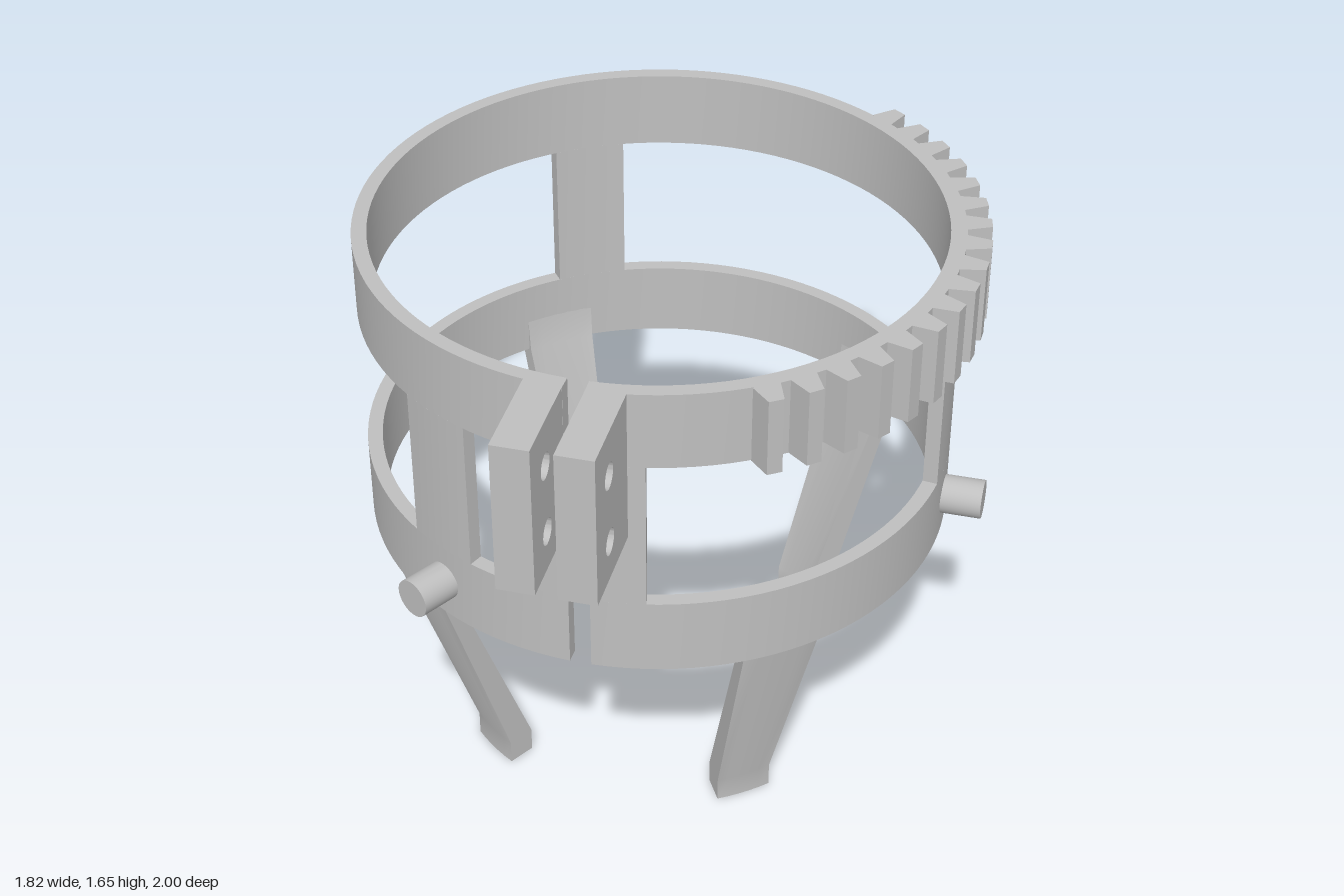
import * as THREE from 'three';
import { toCreasedNormals } from 'three/addons/utils/BufferGeometryUtils.js';

const R_IN = 0.811, R_OUT = 0.854;
const LOW = [0.73, 0.96], HIGH = [1.42, 1.65];
const FRONT = Math.PI / 2; // angles run from +x (0) towards +z
const rad = THREE.MathUtils.degToRad;

export function createModel() {
  const grey = new THREE.MeshStandardMaterial({ color: 0xbfbfbf });
  grey.name = 'light grey plastic';

  const model = new THREE.Group();
  model.name = 'clampRingStand';
  const body = new THREE.Group();
  body.name = 'body';
  body.position.set(-0.058, 0, -0.135); // ring axis
  model.add(body);

  const add = (name, geometry) => {
    const mesh = new THREE.Mesh(toCreasedNormals(geometry, 0.5), grey);
    mesh.name = name;
    body.add(mesh);
  };

  // Sweeps a counter-clockwise (radius, height) profile around the ring axis
  const sweep = (profile, from, to) => {
    const shape = new THREE.Shape(profile.map(([r, y]) => new THREE.Vector2(r, y)));
    const steps = Math.max(4, Math.ceil((to - from) / 0.055));
    const geo = new THREE.ExtrudeGeometry(shape, { depth: 1, steps, bevelEnabled: false });
    const p = geo.attributes.position;
    for (let i = 0; i < p.count; i++) {
      const r = p.getX(i), a = from + (to - from) * p.getZ(i);
      p.setXYZ(i, r * Math.cos(a), p.getY(i), r * Math.sin(a));
    }
    return geo;
  };
  const band = (y0, y1) => [[R_IN, y0], [R_OUT, y0], [R_OUT, y1], [R_IN, y1]];

  // Two split rings
  const gap = 0.0355;
  const start = FRONT + gap, end = FRONT + 2 * Math.PI - gap;
  add('lowerRing', sweep(band(...LOW), start, end));
  add('upperRing', sweep(band(...HIGH), start, end));

  // Pillars between the rings, and a locating peg below each
  const pillar = band(LOW[1], HIGH[0]);
  for (const deg of [0, 120, -120]) {
    const a = rad(deg);
    add('pillar', sweep(pillar, a - 0.131, a + 0.131));
    const pegGeo = new THREE.CylinderGeometry(0.057, 0.057, 0.15, 32);
    pegGeo.rotateZ(-Math.PI / 2).translate(0.895, 0.845, 0).rotateY(-a);
    add('peg', pegGeo);
  }

  // Split front pillar and its clamp tabs
  const half = 0.216;
  add('frontPillarLeft', sweep(pillar, FRONT - half, FRONT - gap));
  add('frontPillarRight', sweep(pillar, FRONT + gap, FRONT + half));

  const tab = new THREE.Shape([
    new THREE.Vector2(0.835, 1.19), new THREE.Vector2(1.135, 1.19),
    new THREE.Vector2(1.135, 1.65), new THREE.Vector2(0.835, 1.65),
  ]);
  for (const y of [1.305, 1.515]) {
    tab.holes.push(new THREE.Path().absarc(1.012, y, 0.038, 0, Math.PI * 2, true));
  }
  for (const [name, x] of [['clampTabLeft', 0.136], ['clampTabRight', -0.031]]) {
    const geo = new THREE.ExtrudeGeometry(tab, { depth: 0.106, bevelEnabled: false, curveSegments: 24 });
    add(name, geo.rotateY(-Math.PI / 2).translate(x, 0, 0));
  }

  // Gear teeth along the left side of the upper ring
  const polar = (r, a) => new THREE.Vector2(r * Math.cos(a), r * Math.sin(a));
  const outline = [], inner = [];
  const root = 0.857, tip = 0.927, pitch = rad(6.93);
  for (let i = -8; i <= 8; i++) {
    const a = rad(1.2) + i * pitch;
    outline.push(polar(root, a - 0.044), polar(tip, a - 0.023), polar(tip, a + 0.023), polar(root, a + 0.044));
    inner.unshift(polar(0.83, a));
  }
  const gear = new THREE.ExtrudeGeometry(new THREE.Shape([...outline, ...inner]),
    { depth: HIGH[1] - HIGH[0], bevelEnabled: false });
  add('gearTeeth', gear.rotateX(Math.PI / 2).translate(0, HIGH[1], 0));

  // Four inward-slanting legs with upright feet
  const leg = [[0.55, 0], [0.634, 0], [0.634, 0.075], [0.852, 0.73],
    [0.852, 0.85], [0.813, 0.85], [0.8, 0.73], [0.55, 0.075]];
  for (const deg of [52, 128, -52, -128]) {
    add('leg', sweep(leg, rad(deg - 7.6), rad(deg + 7.6)));
  }

  return model;
}
